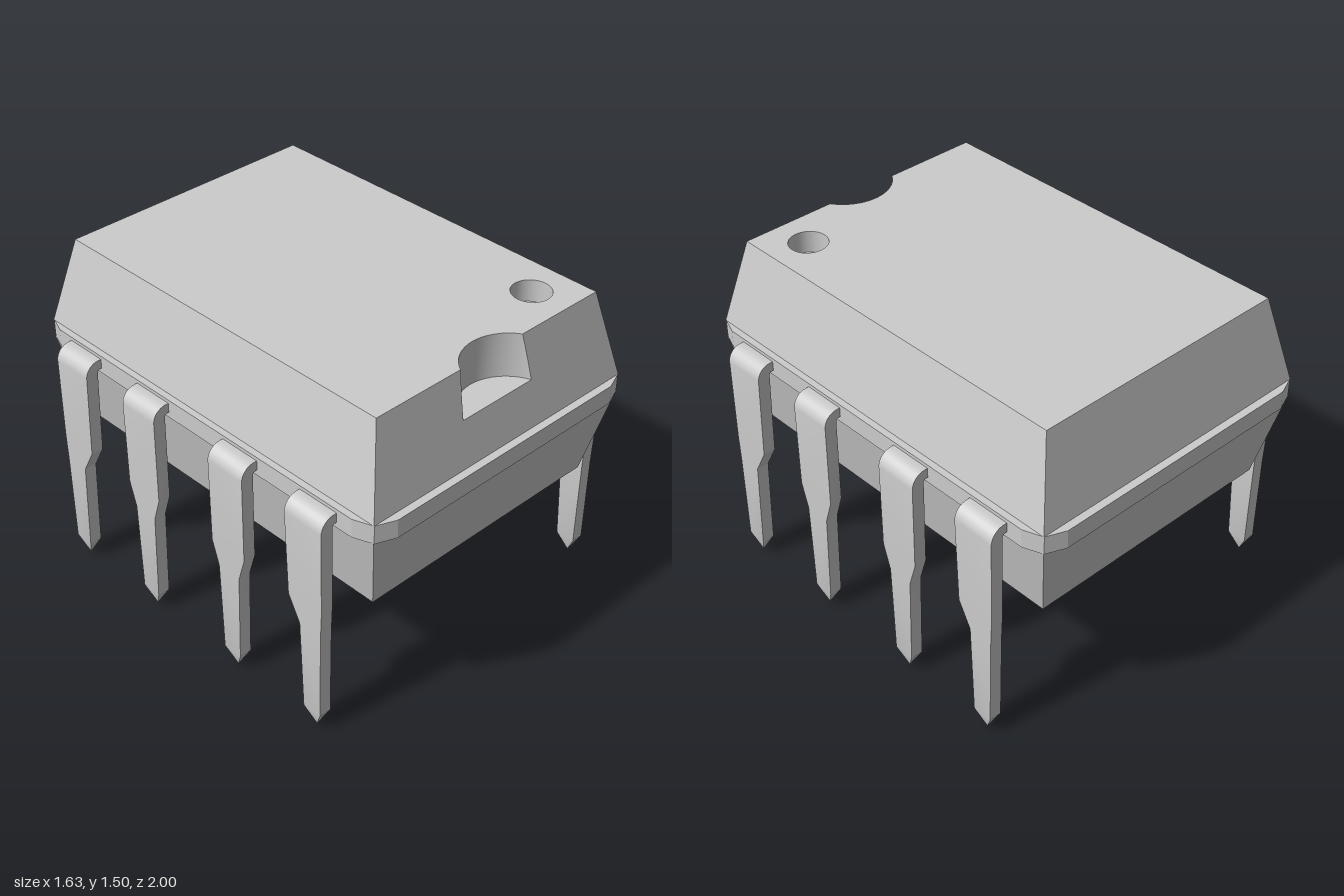
import * as THREE from 'three';
import { toCreasedNormals } from 'three/addons/utils/BufferGeometryUtils.js';

const mat = new THREE.MeshStandardMaterial({ color: 0xcccccc });
const matDouble = new THREE.MeshStandardMaterial({ color: 0xcccccc, side: THREE.DoubleSide });

// Body sizes
const TOP = 1.503, SEAM_HI = 1.11, SEAM_LO = 1.025, BOTTOM = 0.632;
const HX = 0.615, HZ = 0.878, SEAM_X = 0.705, SEAM_Z = 0.965;
const SLOPE = (SEAM_Z - HZ) / (TOP - SEAM_HI);
const frontZ = (y) => HZ + (TOP - y) * SLOPE;

// Flat polygons (triangle fans) to a geometry
function facesGeometry(polys, flip = false) {
  const pos = [];
  for (const p of polys) {
    for (let i = 1; i < p.length - 1; i++) {
      const tri = flip ? [p[0], p[i + 1], p[i]] : [p[0], p[i], p[i + 1]];
      pos.push(...tri.flat());
    }
  }
  const g = new THREE.BufferGeometry();
  g.setAttribute('position', new THREE.Float32BufferAttribute(pos, 3));
  g.computeVertexNormals();
  return g;
}

// Rectangle ring, counter-clockwise seen from above, starting at the front
const rect = (hx, hz, y) => [[-hx, y, hz], [hx, y, hz], [hx, y, -hz], [-hx, y, -hz]];

// Four walls between a lower and an upper ring
const walls = (lo, hi) => lo.map((a, i) => {
  const j = (i + 1) % lo.length;
  return [a, lo[j], hi[j], hi[i]];
});

function addMesh(parent, name, geometry, material = mat) {
  const mesh = new THREE.Mesh(geometry, material);
  mesh.name = name;
  parent.add(mesh);
  return mesh;
}

function buildBody() {
  const body = new THREE.Group();
  body.name = 'body';

  // Lower half
  const low = rect(HX, HZ, BOTTOM);
  addMesh(body, 'lowerBody', facesGeometry([...walls(low, rect(SEAM_X, SEAM_Z, SEAM_LO)), [...low].reverse()]));

  // Upper half: side and back walls
  const upper = walls(rect(SEAM_X, SEAM_Z, SEAM_HI), rect(HX, HZ, TOP));
  addMesh(body, 'upperWalls', facesGeometry(upper.slice(1)));

  // Notch outline: an arc open to the front, split where it leaves the top face
  const R = 0.203, CZ = 0.983, FLOOR = 1.304;
  const aTop = Math.acos((CZ - HZ) / R), aFloor = Math.acos((CZ - frontZ(FLOOR)) / R);
  const angles = [];
  for (let i = 0; i < 4; i++) angles.push(-aFloor + (aFloor - aTop) * i / 4);
  for (let i = 0; i <= 16; i++) angles.push(-aTop + 2 * aTop * i / 16);
  for (let i = 1; i <= 4; i++) angles.push(aTop + (aFloor - aTop) * i / 4);
  const arc = angles.map((a) => {
    const x = R * Math.sin(a), z = CZ - R * Math.cos(a);
    return { x, z, y: Math.min(TOP, TOP - (z - HZ) / SLOPE) };
  });
  const v2 = (x, y) => new THREE.Vector2(x, y);

  // Top face with notch and marker hole
  const DX = 0.435, DZ = 0.698, DR = 0.085, DEPTH = 0.1;
  const topShape = new THREE.Shape([
    v2(-HX, -HZ), ...arc.slice(4, 21).map((p) => v2(p.x, -p.z)),
    v2(HX, -HZ), v2(HX, HZ), v2(-HX, HZ),
  ]);
  topShape.holes.push(new THREE.Path().absarc(DX, -DZ, DR, 0, Math.PI * 2, true));
  const topGeo = new THREE.ShapeGeometry(topShape, 16).rotateX(-Math.PI / 2).translate(0, TOP, 0);
  addMesh(body, 'topFace', topGeo);

  // Sloping front face with the notch cut out
  const frontShape = new THREE.Shape([
    v2(-SEAM_X, SEAM_HI), v2(SEAM_X, SEAM_HI), v2(HX, TOP),
    ...arc.slice(20).map((p) => v2(p.x, p.y)),
    ...arc.slice(0, 5).map((p) => v2(p.x, p.y)),
    v2(-HX, TOP),
  ]);
  const frontGeo = new THREE.ShapeGeometry(frontShape);
  const fp = frontGeo.attributes.position;
  for (let i = 0; i < fp.count; i++) fp.setZ(i, frontZ(fp.getY(i)));
  frontGeo.computeVertexNormals();
  addMesh(body, 'frontFace', frontGeo);

  // Notch wall and floor
  const wall = [];
  for (let i = 0; i < arc.length - 1; i++) {
    const a = arc[i], b = arc[i + 1];
    wall.push([[a.x, FLOOR, a.z], [b.x, FLOOR, b.z], [b.x, b.y, b.z], [a.x, a.y, a.z]]);
  }
  addMesh(body, 'notchWall', toCreasedNormals(facesGeometry(wall), 0.6), matDouble);
  const floorGeo = new THREE.ShapeGeometry(new THREE.Shape(arc.map((p) => v2(p.x, -p.z))));
  addMesh(body, 'notchFloor', floorGeo.rotateX(-Math.PI / 2).translate(0, FLOOR, 0), matDouble);

  // Marker hole
  const holeGeo = new THREE.CylinderGeometry(DR, DR, DEPTH, 32, 1, true);
  addMesh(body, 'markerHoleWall', holeGeo, matDouble).position.set(DX, TOP - DEPTH / 2, DZ);
  const holeFloor = new THREE.CircleGeometry(DR, 32).rotateX(-Math.PI / 2);
  addMesh(body, 'markerHoleFloor', holeFloor).position.set(DX, TOP - DEPTH, DZ);

  // Seam band with clipped corners
  const quarter = [[0.735, 0.88], [0.703, 0.965], [0.615, 1.0]];
  const outline = [];
  for (const [sx, sz] of [[1, 1], [-1, 1], [-1, -1], [1, -1]]) {
    const pts = quarter.map(([x, z]) => v2(sx * x, sz * z));
    outline.push(...(sx * sz > 0 ? pts : pts.reverse()));
  }
  const bandGeo = new THREE.ExtrudeGeometry(new THREE.Shape(outline), { depth: SEAM_HI - SEAM_LO, bevelEnabled: false });
  addMesh(body, 'seamBand', bandGeo.rotateX(-Math.PI / 2).translate(0, SEAM_LO, 0));
  return body;
}

// Lead widths going down: [y, zNear, zFar]
const END_LEAD = [[1.03, 0.602, 0.802], [0.635, 0.618, 0.802], [0.52, 0.68, 0.797], [0.09, 0.698, 0.791]];
const MID_LEAD = [[1.03, 0.165, 0.363], [0.635, 0.168, 0.36], [0.52, 0.205, 0.325], [0.09, 0.218, 0.314]];

function leadGeometry(profile, sx, sz) {
  const OUT = 0.815, IN = 0.757, HIGH = 1.094, UNDER = 1.05;
  const rings = [];
  const ring = (xo, yo, xi, yi, z0, z1) => rings.push(
    [[xo, yo, z1], [xo, yo, z0], [xi, yi, z0], [xi, yi, z1]].map(([x, y, z]) => [x * sx, y, z * sz]));
  const [, z0, z1] = profile[0];
  // Horizontal root, then the rounded bend
  ring(0.68, HIGH, 0.68, UNDER, z0, z1);
  for (let i = 0; i <= 8; i++) {
    const a = i / 8 * Math.PI / 2, s = Math.sin(a), c = Math.cos(a);
    ring(0.751 + (OUT - 0.751) * s, 1.03 + (HIGH - 1.03) * c,
      0.743 + (IN - 0.743) * s, 1.036 + (UNDER - 1.036) * c, z0, z1);
  }
  // Straight shank
  for (const [y, a, b] of profile.slice(1)) ring(OUT, y, IN, y, a, b);
  const polys = [];
  for (let i = 1; i < rings.length; i++) polys.push(...walls(rings[i], rings[i - 1]));
  // Pointed tip
  const last = rings[rings.length - 1], end = profile[profile.length - 1];
  const tip = [sx * (OUT + IN) / 2, 0, sz * (end[1] + end[2]) / 2];
  last.forEach((p, i) => polys.push([tip, last[(i + 1) % 4], p]));
  return toCreasedNormals(facesGeometry(polys, sx * sz < 0), 0.35);
}

export function createModel() {
  const model = new THREE.Group();
  model.name = 'chipPackage';
  model.add(buildBody());

  const leads = new THREE.Group();
  leads.name = 'leads';
  for (const sx of [1, -1]) {
    for (const sz of [1, -1]) {
      const side = (sz > 0 ? 'front' : 'back') + (sx > 0 ? 'Left' : 'Right');
      addMesh(leads, side + 'EndLead', leadGeometry(END_LEAD, sx, sz));
      addMesh(leads, side + 'MiddleLead', leadGeometry(MID_LEAD, sx, sz));
    }
  }
  model.add(leads);
  return model;
}
